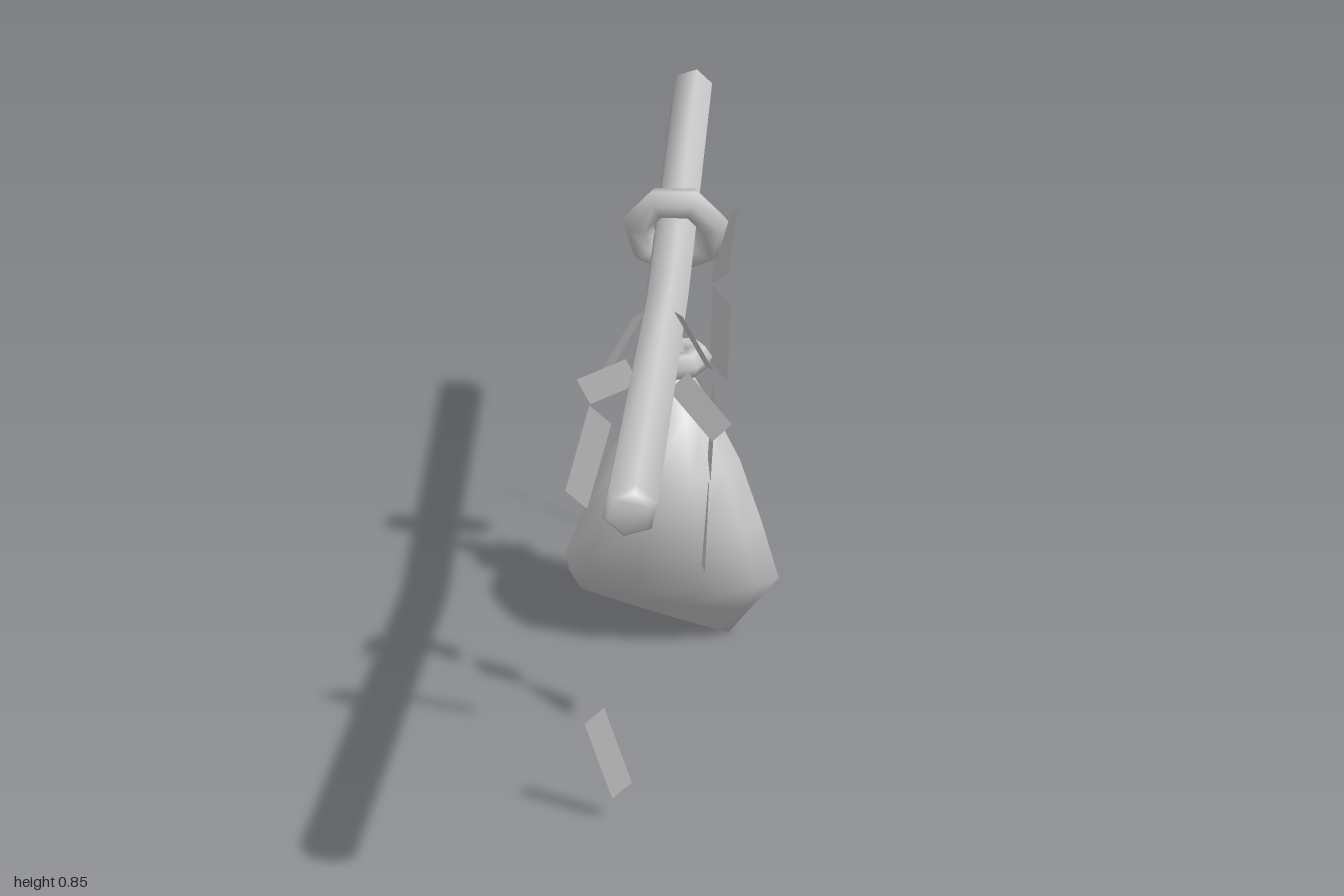
import * as THREE from 'three';

const grey = new THREE.MeshStandardMaterial({ color: 0xcccccc });
const cloth = new THREE.MeshStandardMaterial({ color: 0xcccccc, side: THREE.DoubleSide });

// Skin a list of equal-length rings, closing both ends with a fan
function loft(rings) {
  const n = rings[0].length, pos = rings.flat(), index = [];
  for (let i = 0; i < rings.length - 1; i++)
    for (let j = 0; j < n; j++) {
      const k = (j + 1) % n, a = i * n + j, b = i * n + k;
      index.push(a, b, b + n, a, b + n, a + n);
    }
  const last = (rings.length - 1) * n;
  for (let j = 1; j < n - 1; j++) {
    index.push(0, j + 1, j);
    index.push(last, last + j, last + j + 1);
  }
  const geo = new THREE.BufferGeometry();
  geo.setAttribute('position', new THREE.Float32BufferAttribute(pos.flat(), 3));
  geo.setIndex(index);
  geo.computeVertexNormals();
  return geo;
}

const ring = (n, f, offset = 0) =>
  Array.from({ length: n }, (_, j) => f(Math.cos(j / n * Math.PI * 2 + offset), Math.sin(j / n * Math.PI * 2 + offset)));

export function createModel() {
  const model = new THREE.Group();
  model.name = 'carryingPoleWithSack';
  const add = (name, geo, mat = grey, parent = model) => {
    const mesh = new THREE.Mesh(geo, mat);
    mesh.name = name;
    parent.add(mesh);
    return mesh;
  };

  // Pole sagging in the middle, with bevelled ends
  const poleRows = [[-1, 0.031], [-0.985, 0.04], [0, 0.038], [0.985, 0.04], [1, 0.031]];
  add('pole', loft(poleRows.map(([z, r]) =>
    ring(6, (c, s) => [c * r, 0.742 + 0.067 * Math.abs(z) + s * r, z], 0.3))));

  // Thick knot around the pole, leaning backwards at the bottom
  const knot = add('poleKnot', new THREE.TorusGeometry(0.067, 0.028, 6, 7).rotateZ(-Math.PI / 2));
  knot.position.set(0, 0.763, -0.297);
  knot.rotation.x = 0.4;

  // Sack: left x, y, right x, y, middle z, front z, back z
  const sackRows = [
    [-0.17, 0.083, 0.10, 0.0, -0.27, -0.262, -0.28],
    [-0.188, 0.13, 0.145, 0.068, -0.245, -0.19, -0.305],
    [-0.19, 0.18, 0.19, 0.135, -0.22, -0.15, -0.33],
    [-0.155, 0.27, 0.158, 0.245, -0.22, -0.118, -0.36],
    [-0.115, 0.375, 0.118, 0.36, -0.23, -0.112, -0.35],
    [-0.055, 0.455, 0.066, 0.45, -0.26, -0.19, -0.335],
    [-0.02, 0.505, 0.03, 0.505, -0.28, -0.245, -0.31],
    [-0.02, 0.54, 0.025, 0.54, -0.28, -0.255, -0.305],
  ];
  add('sack', loft(sackRows.map(([xl, yl, xr, yr, zm, zf, zb]) =>
    ring(10, (c, s) => {
      const t = (c + 1) / 2;
      return [xl + (xr - xl) * t, yl + (yr - yl) * t, zm + (s > 0 ? (zb - zm) * s : (zm - zf) * s)];
    }))));

  // Tie and gathered cloth end at the neck of the sack
  const tie = add('sackTie', new THREE.TorusGeometry(0.041, 0.024, 6, 7).rotateX(Math.PI / 2));
  tie.position.set(0.002, 0.528, -0.282);
  tie.rotation.z = 0.08;
  add('sackNeckEnd', loft([[0.005, 0.5, 0.024], [-0.006, 0.57, 0.02], [-0.018, 0.622, 0.022]].map(([x, y, r]) =>
    ring(6, (c, s) => [x + c * r, y - c * r * 0.25, -0.28 - s * r * 1.1]))));

  // Flat cloth scrap from a top centre to a bottom centre, with a half-width vector
  function scrap(parent, top, bottom, half, topScale = 1) {
    const p = [[top, -topScale], [top, topScale], [bottom, 1], [bottom, -1]]
      .map(([c, k]) => c.map((v, i) => v + half[i] * k));
    const geo = new THREE.BufferGeometry();
    geo.setAttribute('position', new THREE.Float32BufferAttribute(p.flat(), 3));
    geo.setIndex([0, 2, 1, 0, 3, 2]);
    geo.computeVertexNormals();
    add('clothScrap', geo, cloth, parent);
  }
  const rag = (name, scraps) => {
    const group = new THREE.Group();
    group.name = name;
    model.add(group);
    scraps.forEach(s => scrap(group, ...s));
  };

  // Rag lying across the pole near the front, with a low scrap
  rag('frontRag', [
    [[-0.03, 0.79, 0.435], [-0.105, 0.755, 0.435], [0.01, -0.02, 0]],
    [[0.04, 0.775, 0.435], [0.107, 0.69, 0.432], [0.015, 0.016, 0.003]],
    [[-0.079, 0.72, 0.44], [-0.118, 0.575, 0.437], [0.017, -0.014, 0.002]],
    [[-0.093, 0.2, 0.441], [-0.05, 0.06, 0.432], [0.016, 0.015, 0]],
  ]);

  // Rag draped over the pole, hanging down the left side
  rag('middleRag', [
    ...[-1, 1].map(m => [[m * 0.03, 0.805, 0.225], [m * 0.08, 0.72, 0.24], [m * 0.008, 0.005, 0.025]]),
    [[0.088, 0.68, 0.253], [0.08, 0.535, 0.22], [0.003, -0.014, 0.018]],
    [[0.08, 0.52, 0.236], [0.072, 0.367, 0.238], [0.004, 0.008, 0.032], 0.2],
  ]);

  // Rear rag hanging diagonally beside the pole
  rag('rearRag', [
    [[0.088, 0.725, -0.49], [0.07, 0.595, -0.508], [0.016, 0.015, 0.016]],
    [[0.075, 0.565, -0.503], [0.07, 0.415, -0.505], [0.017, -0.012, 0.018]],
    [[0.075, 0.39, -0.498], [0.06, 0.235, -0.49], [0.016, -0.01, 0.016]],
  ]);
  return model;
}
